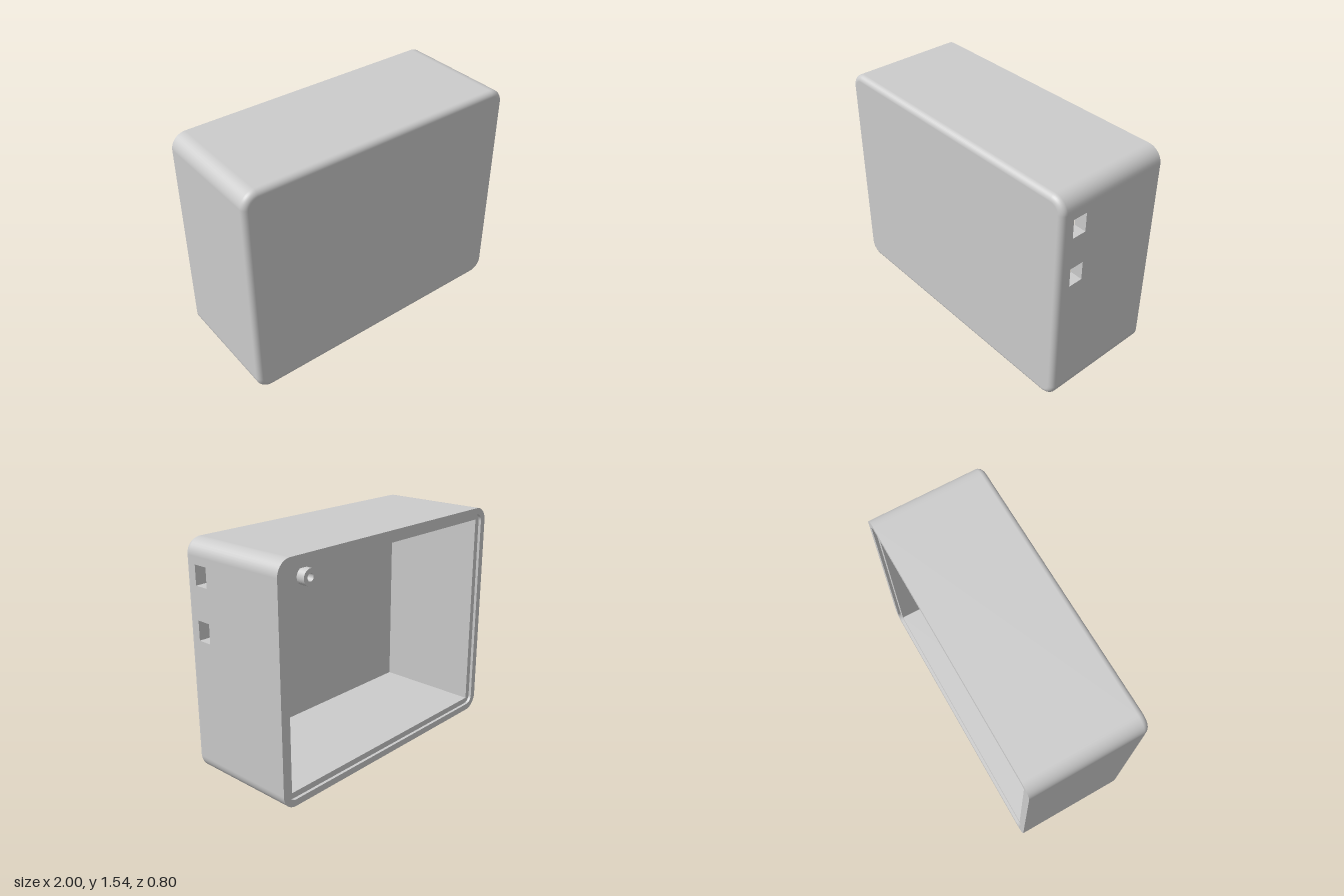
import * as THREE from 'three';

const W = 2, H = 1.54, CY = H / 2;      // overall width, height, mid height
const BACK = -0.4, FRONT = 0.4;         // open rim and closed face
const R = 0.1, FILLET = 0.04;           // corner radius, front edge radius
const LIP = 0.045, LEDGE = -0.38;       // rim width, floor of the recess in it
const T = 0.085, FLOOR = 0.365;         // side wall thickness, inner face of the front
const STEPS = 10;
const WINDOWS = [0.975, 1.325].map(y => ({ y, z: 0.26, h: 0.13, d: 0.1 }));

const grey = new THREE.MeshStandardMaterial({ color: 0xcccccc });
const greyFlat = new THREE.MeshStandardMaterial({ color: 0xcccccc, flatShading: true, side: THREE.DoubleSide });

function add(group, name, geometry, material = grey) {
  const mesh = new THREE.Mesh(geometry, material);
  mesh.name = name;
  group.add(mesh);
  return mesh;
}

// Rounded rectangle centred on the origin (sharp when r is 0)
function roundedRect(w, h, r, Type = THREE.Shape) {
  const s = new Type(), a = w / 2 - r, b = h / 2 - r;
  if (r === 0) return s.setFromPoints([[a, -b], [a, b], [-a, b], [-a, -b]].map(p => new THREE.Vector2(...p)));
  s.absarc(a, b, r, 0, Math.PI / 2);
  s.absarc(-a, b, r, Math.PI / 2, Math.PI);
  s.absarc(-a, -b, r, Math.PI, Math.PI * 1.5);
  s.absarc(a, -b, r, Math.PI * 1.5, Math.PI * 2);
  return s;
}

// Band of rounded rectangles; rows are [inset, z, tilt of the normal towards +z]
function band(w, h, r, rows, { open = false, inward = false } = {}) {
  const pos = [], nor = [], idx = [], n = 4 * (STEPS + 1), dir = inward ? -1 : 1;
  for (const [inset, z, tilt] of rows) {
    for (let k = 0; k < 4; k++) {
      const cx = (k === 0 || k === 3 ? 1 : -1) * (w / 2 - r);
      const cy = (k < 2 ? 1 : -1) * (h / 2 - r);
      for (let i = 0; i <= STEPS; i++) {
        const a = (k + i / STEPS) * Math.PI / 2, c = Math.cos(a), s = Math.sin(a);
        pos.push(cx + c * (r - inset), cy + s * (r - inset), z);
        nor.push(dir * c * Math.cos(tilt), dir * s * Math.cos(tilt), dir * Math.sin(tilt));
      }
    }
  }
  for (let j = 0; j < rows.length - 1; j++) {
    for (let i = 0; i < (open ? n - 1 : n); i++) {
      const a = j * n + i, b = j * n + (i + 1) % n, c = b + n, d = a + n;
      if (inward) idx.push(a, c, b, a, d, c);
      else idx.push(a, b, c, a, c, d);
    }
  }
  const g = new THREE.BufferGeometry();
  g.setAttribute('position', new THREE.Float32BufferAttribute(pos, 3));
  g.setAttribute('normal', new THREE.Float32BufferAttribute(nor, 3));
  g.setIndex(idx);
  return g.translate(0, CY, 0);
}

// Flat ring facing the back
function backRing(outer, hole, z) {
  outer.holes.push(hole);
  return new THREE.ShapeGeometry(outer, STEPS).rotateY(Math.PI).translate(0, CY, z);
}

// Side wall skin at x with the window cut-outs; facing is +1 or -1 along x
function windowWall(x, y0, y1, z0, z1, facing) {
  const rect = (Type, a, b, c, d) => new Type().setFromPoints(
    [[a, c], [b, c], [b, d], [a, d]].map(([z, y]) => new THREE.Vector2(-facing * z, y)));
  const s = rect(THREE.Shape, z0, z1, y0, y1);
  for (const o of WINDOWS) {
    s.holes.push(rect(THREE.Path, o.z - o.d / 2, o.z + o.d / 2, o.y - o.h / 2, o.y + o.h / 2));
  }
  return new THREE.ShapeGeometry(s).rotateY(facing * Math.PI / 2).translate(x, 0, 0);
}

export function createModel() {
  const model = new THREE.Group();
  model.name = 'enclosure';

  // Outer shell: rounded sides, filleted front edge, front face
  const shell = new THREE.Group();
  shell.name = 'outerShell';
  model.add(shell);
  const fillet = [];
  for (let i = 0; i <= 8; i++) {
    const t = i / 8 * Math.PI / 2;
    fillet.push([FILLET * (1 - Math.cos(t)), FRONT - FILLET + FILLET * Math.sin(t), t]);
  }
  add(shell, 'outerSides', band(W, H, R, [[0, BACK, 0], [0, FRONT - FILLET, 0]], { open: true }));
  add(shell, 'frontFillet', band(W, H, R, fillet));
  add(shell, 'frontFace', new THREE.ShapeGeometry(
    roundedRect(W - 2 * FILLET, H - 2 * FILLET, R - FILLET), STEPS).translate(0, CY, FRONT));
  add(shell, 'outerWindowWall', windowWall(W / 2, R, H - R, BACK, FRONT - FILLET, 1));

  // Stepped rim around the open back
  const rim = new THREE.Group();
  rim.name = 'rim';
  model.add(rim);
  const lw = W - 2 * LIP, lh = H - 2 * LIP, lr = R - LIP;
  const iw = W - 2 * T, ih = H - 2 * T;
  add(rim, 'rimFace', backRing(roundedRect(W, H, R), roundedRect(lw, lh, lr, THREE.Path), BACK));
  add(rim, 'recessWall', band(lw, lh, lr, [[0, BACK, 0], [0, LEDGE, 0]], { inward: true }));
  add(rim, 'recessLedge', backRing(roundedRect(lw, lh, lr), roundedRect(iw, ih, 0, THREE.Path), LEDGE));

  // Sharp-cornered cavity
  const cavity = new THREE.Group();
  cavity.name = 'cavity';
  model.add(cavity);
  const depth = FLOOR - LEDGE, mid = (FLOOR + LEDGE) / 2;
  add(cavity, 'innerFront', new THREE.PlaneGeometry(iw, ih).rotateY(Math.PI).translate(0, CY, FLOOR));
  add(cavity, 'innerBottom', new THREE.PlaneGeometry(iw, depth).rotateX(-Math.PI / 2).translate(0, T, mid));
  add(cavity, 'innerTop', new THREE.PlaneGeometry(iw, depth).rotateX(Math.PI / 2).translate(0, H - T, mid));
  add(cavity, 'innerRightWall', new THREE.PlaneGeometry(depth, ih).rotateY(Math.PI / 2).translate(-iw / 2, CY, mid));
  add(cavity, 'innerWindowWall', windowWall(iw / 2, T, H - T, LEDGE, FLOOR, -1));

  // Square window linings through the wall
  for (const o of WINDOWS) {
    const lining = new THREE.CylinderGeometry(Math.SQRT1_2, Math.SQRT1_2, 1, 4, 1, true, Math.PI / 4)
      .rotateZ(Math.PI / 2).scale(T, o.h, o.d).translate(W / 2 - T / 2, o.y, o.z);
    add(cavity, 'windowLining', lining, greyFlat);
  }

  // Hollow screw posts on the inside of the front
  for (const x of [0.05, 0.43]) {
    const ring = new THREE.Shape().absarc(0, 0, 0.065, 0, Math.PI * 2);
    ring.holes.push(new THREE.Path().absarc(0, 0, 0.03, 0, Math.PI * 2, true));
    const post = new THREE.ExtrudeGeometry(ring, { depth: 0.075, bevelEnabled: false, curveSegments: 32 });
    add(model, 'screwPost', post).position.set(x, 1.11, FLOOR - 0.07);
  }
  return model;
}
